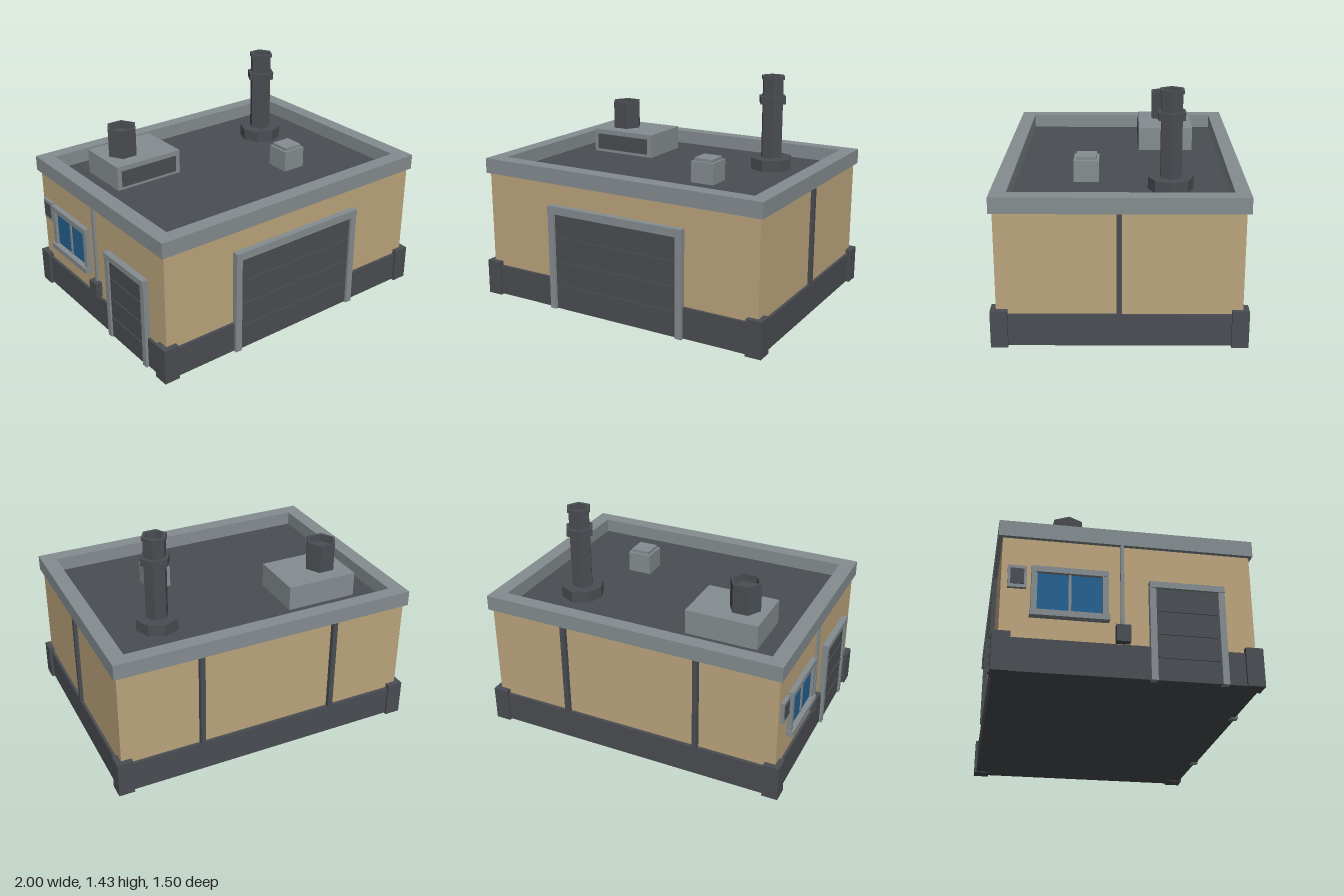
import * as THREE from 'three';

export function createModel() {
  const model = new THREE.Group();
  model.name = 'garageBuilding';

  const material = (name, color) => {
    const m = new THREE.MeshStandardMaterial({ color });
    m.name = name;
    return m;
  };
  const tan = material('tanWall', 0xbca57d);
  const dark = material('darkMetal', 0x4a4d52);
  const grey = material('greyTrim', 0x858d90);
  const blue = material('blueGlass', 0x256190);

  const add = (name, geometry, mat, parent = model) => {
    const mesh = new THREE.Mesh(geometry, mat);
    mesh.name = name;
    parent.add(mesh);
    return mesh;
  };

  // Box given by its limits on each axis
  const box = (name, mat, [x0, x1], [y0, y1], [z0, z1], parent = model) => {
    const g = new THREE.BoxGeometry(x1 - x0, y1 - y0, z1 - z0);
    g.translate((x0 + x1) / 2, (y0 + y1) / 2, (z0 + z1) / 2);
    return add(name, g, mat, parent);
  };

  // Faceted turned part from [radius, height] pairs
  const turned = (name, mat, profile, sides, x, z, start = 0) => {
    const points = profile.map(([r, y]) => new THREE.Vector2(r, y));
    const g = new THREE.LatheGeometry(points, sides, start).toNonIndexed();
    g.computeVertexNormals();
    add(name, g, mat).position.set(x, 0, z);
  };

  // Main body
  box('walls', tan, [-0.955, 0.965], [0.1, 0.815], [-0.715, 0.71]);
  box('plinth', dark, [-0.972, 0.982], [0.005, 0.2], [-0.735, 0.727]);
  box('roof', dark, [-0.9, 0.91], [0.78, 0.825], [-0.67, 0.655]);
  for (const x of [-0.94, 0.95])
    for (const z of [-0.7, 0.693])
      box('cornerPost', dark, [x - 0.05, x + 0.05], [0, 0.227], [z - 0.05, z + 0.05]);

  // Parapet ring
  const rectangle = (PathType, x0, x1, z0, z1) => new PathType([
    new THREE.Vector2(x0, -z1), new THREE.Vector2(x1, -z1),
    new THREE.Vector2(x1, -z0), new THREE.Vector2(x0, -z0),
  ]);
  const ring = rectangle(THREE.Shape, -0.975, 0.985, -0.74, 0.73);
  ring.holes.push(rectangle(THREE.Path, -0.88, 0.89, -0.652, 0.635));
  const parapet = new THREE.ExtrudeGeometry(ring, { depth: 0.097, bevelEnabled: false });
  parapet.rotateX(-Math.PI / 2).translate(0, 0.818, 0);
  add('parapet', parapet, grey);

  // Wall strips
  box('sideStrip', dark, [0.96, 0.988], [0.2, 0.818], [-0.016, 0.014]);
  for (const x of [-0.445, 0.445])
    box('backStrip', dark, [x - 0.016, x + 0.016], [0.2, 0.818], [-0.743, -0.71]);

  // Front garage door
  const door = new THREE.Group();
  door.name = 'garageDoor';
  model.add(door);
  box('doorPanel', dark, [-0.43, 0.44], [0.003, 0.632], [0.7, 0.732], door);
  for (const y of [0.158, 0.314, 0.472])
    box('doorRib', dark, [-0.42, 0.43], [y - 0.007, y + 0.007], [0.73, 0.739], door);
  box('doorJamb', grey, [-0.475, -0.432], [0, 0.63], [0.7, 0.746], door);
  box('doorJamb', grey, [0.442, 0.485], [0, 0.63], [0.7, 0.746], door);
  box('doorLintel', grey, [-0.475, 0.485], [0.63, 0.68], [0.7, 0.75], door);

  // Side shutter door
  const sideDoor = new THREE.Group();
  sideDoor.name = 'sideDoor';
  model.add(sideDoor);
  box('sideDoorPanel', dark, [-0.978, -0.95], [0.003, 0.555], [0.145, 0.505], sideDoor);
  for (const y of [0.14, 0.28, 0.42])
    box('sideDoorRib', dark, [-0.984, -0.975], [y - 0.007, y + 0.007], [0.155, 0.495], sideDoor);
  for (const z of [0.11, 0.505])
    box('sideDoorJamb', grey, [-0.99, -0.95], [0, 0.555], [z, z + 0.037], sideDoor);
  box('sideDoorLintel', grey, [-0.995, -0.95], [0.555, 0.592], [0.11, 0.542], sideDoor);

  // Side window
  const sideWindow = new THREE.Group();
  sideWindow.name = 'sideWindow';
  model.add(sideWindow);
  box('glass', blue, [-0.966, -0.958], [0.36, 0.605], [-0.52, -0.15], sideWindow);
  for (const z of [-0.55, -0.153])
    box('windowJamb', grey, [-0.985, -0.95], [0.365, 0.6], [z, z + 0.033], sideWindow);
  box('mullion', grey, [-0.974, -0.95], [0.365, 0.6], [-0.343, -0.327], sideWindow);
  box('windowLintel', grey, [-0.988, -0.95], [0.6, 0.635], [-0.55, -0.12], sideWindow);
  box('windowSill', grey, [-1, -0.95], [0.33, 0.365], [-0.555, -0.115], sideWindow);

  // Small wall vent, conduit and meter box
  box('wallVent', grey, [-0.975, -0.95], [0.5, 0.635], [-0.68, -0.575]);
  box('wallVentGrille', dark, [-0.979, -0.974], [0.52, 0.615], [-0.665, -0.59]);
  box('conduit', grey, [-0.972, -0.95], [0.3, 0.818], [-0.05, -0.03]);
  box('meterBox', dark, [-0.998, -0.95], [0.21, 0.31], [-0.08, 0]);

  // Roof ventilation unit with hexagonal stack
  box('ventUnit', grey, [-0.727, -0.263], [0.82, 0.982], [-0.487, -0.128]);
  box('ventGrille', dark, [-0.697, -0.297], [0.845, 0.95], [-0.13, -0.121]);
  turned('ventStack', dark,
    [[0.1, 0.97], [0.1, 1.167], [0.082, 1.167], [0.082, 1.12], [0, 1.12]], 6, -0.577, -0.308, Math.PI / 2);

  // Small roof hatch
  box('roofHatch', grey, [0.283, 0.437], [0.82, 0.96], [0.125, 0.28]);
  box('roofHatchCap', grey, [0.297, 0.423], [0.96, 0.98], [0.14, 0.266]);

  // Tall chimney with octagonal foot, collar and open rim
  turned('chimneyFoot', dark, [[0.137, 0.82], [0.137, 0.9], [0, 0.9]], 8, 0.549, -0.306);
  turned('chimney', dark, [
    [0.072, 0.89], [0.072, 1.252], [0.093, 1.252], [0.093, 1.3], [0.072, 1.3],
    [0.072, 1.408], [0.081, 1.408], [0.081, 1.43], [0.058, 1.43], [0.058, 1.38], [0, 1.38],
  ], 6, 0.549, -0.306, Math.PI / 2);

  return model;
}
